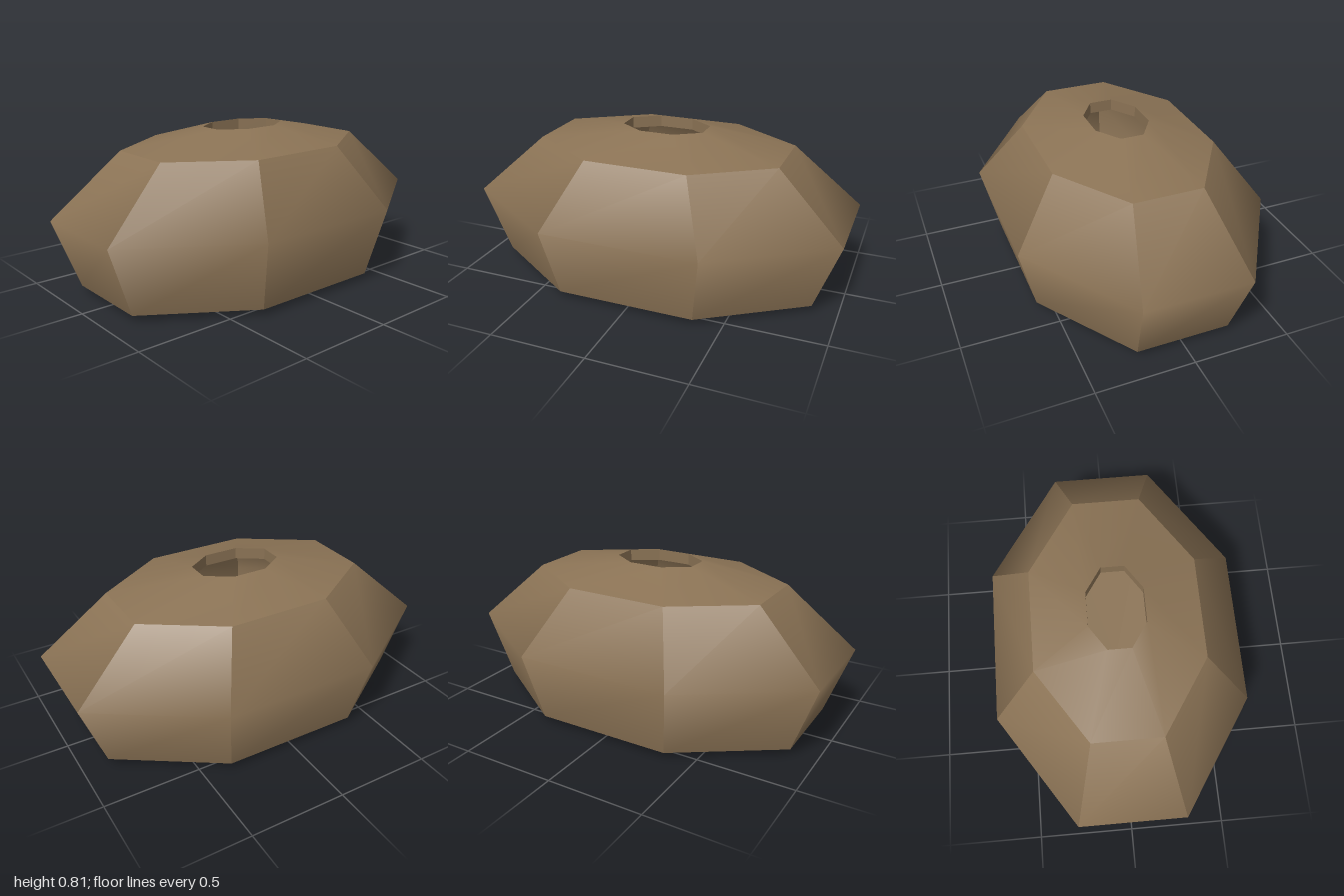
import * as THREE from 'three';

const SIDES = 8;
const WIDTH = 0.665; // squeeze across x makes the octagon oval

// Sweeps a [radius, y] profile round the octagon; sharp sides get their own vertices
function shell(profile, sharp) {
  const pos = [], index = [];
  const n = profile.length;
  const column = (k) => {
    const a = ((k - 0.5) / SIDES) * Math.PI * 2;
    for (const [apothem, y] of profile) {
      const r = apothem / Math.cos(Math.PI / SIDES);
      pos.push(r * Math.sin(a) * WIDTH, y, r * Math.cos(a));
    }
  };
  if (!sharp) for (let k = 0; k < SIDES; k++) column(k);
  for (let k = 0; k < SIDES; k++) {
    let a = k * n, b = ((k + 1) % SIDES) * n;
    if (sharp) {
      a = pos.length / 3;
      b = a + n;
      column(k);
      column(k + 1);
    }
    for (let j = 0; j < n - 1; j++) {
      if (profile[j][0] > 0) index.push(a + j, b + j, b + j + 1);
      else index.push(a + j, b + j + 1, a + j + 1);
      if (profile[j][0] > 0) index.push(a + j, b + j + 1, a + j + 1);
    }
  }
  const g = new THREE.BufferGeometry();
  g.setAttribute('position', new THREE.Float32BufferAttribute(pos, 3));
  g.setIndex(index);
  g.computeVertexNormals();
  return g;
}

export function createModel() {
  const model = new THREE.Group();
  model.name = 'facetedPot';
  const clay = new THREE.MeshStandardMaterial({ color: 0x8b7355, side: THREE.DoubleSide });
  clay.name = 'brown clay';

  const add = (name, profile, sharp) => {
    const mesh = new THREE.Mesh(shell(profile, sharp), clay);
    mesh.name = name;
    model.add(mesh);
  };

  // Shallow pointed underside
  add('base', [[0, 0.005], [0.87, 0.04]], true);
  // Eight bulging wall panels, each smooth over its widest point
  add('wallPanels', [[0.87, 0.04], [1, 0.4], [0.65, 0.72]], true);
  // Gently sloping shoulder up to the opening
  add('shoulder', [[0.65, 0.72], [0.22, 0.81]], false);
  // Short lip turned down into the hollow body
  add('openingLip', [[0.22, 0.81], [0.22, 0.75]], true);

  return model;
}
